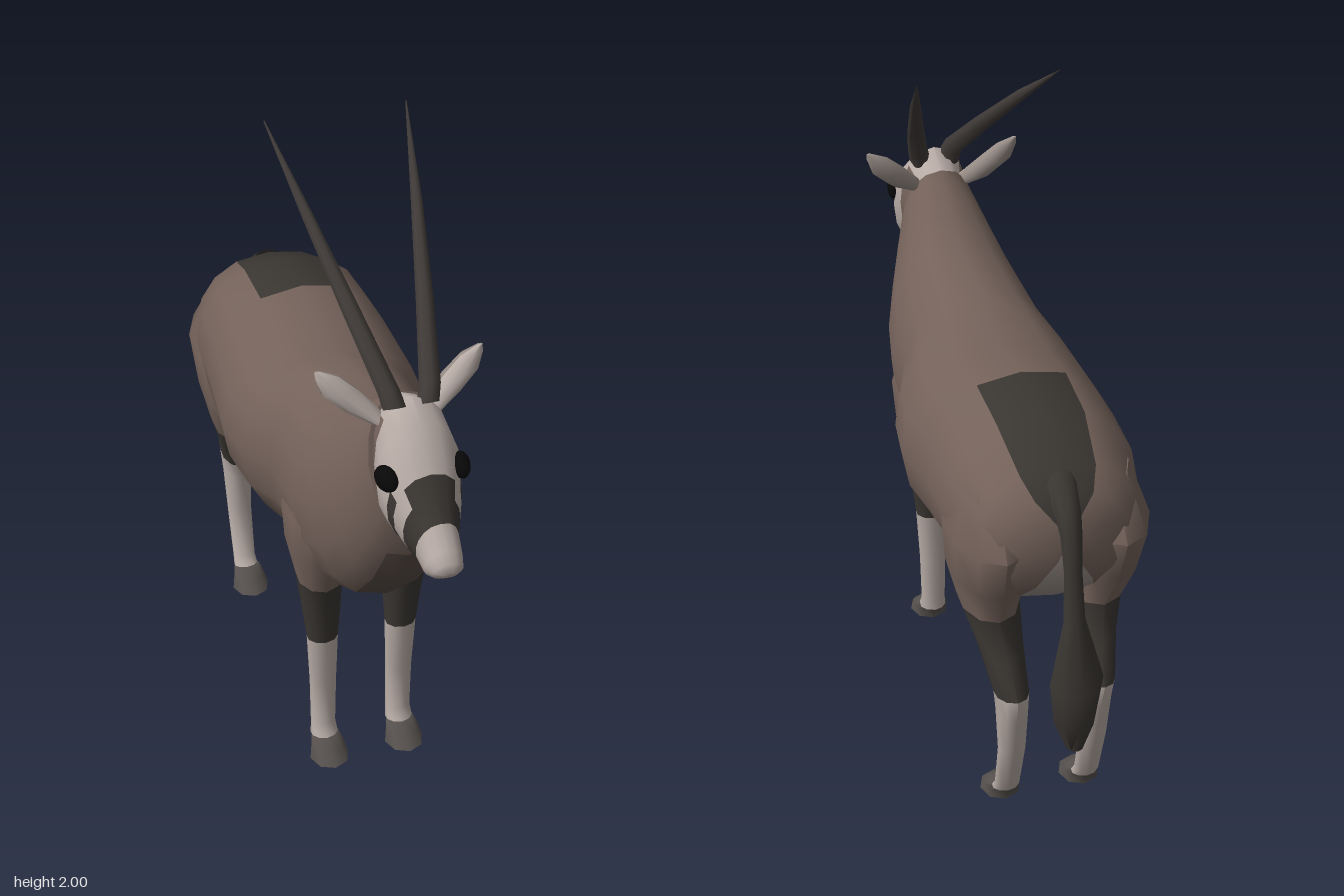
import * as THREE from 'three';
import { toCreasedNormals } from 'three/addons/utils/BufferGeometryUtils.js';

const mat = (color) => new THREE.MeshStandardMaterial({ color });
const MATS = {
  brown: mat(0x74625a), shade: mat(0x564a45), dark: mat(0x3a3632), pale: mat(0xb8aca6),
  belly: mat(0x958a84), hoof: mat(0x55504d), black: mat(0x080808), horn: mat(0x3f3a37),
};

// Oval cross-section spanned by two points (z, y) in side view, half width w, centred on x = cx
function oval([z0, y0, z1, y1, w, cx = 0], n, power) {
  return Array.from({ length: n }, (_, j) => {
    const a = (j / n) * Math.PI * 2, c = Math.cos(a), s = Math.sin(a);
    return new THREE.Vector3(
      cx + w * Math.sign(s) * Math.abs(s) ** power,
      (y0 + y1) / 2 + (c * (y0 - y1)) / 2,
      (z0 + z1) / 2 + (c * (z0 - z1)) / 2);
  });
}

// Skin over the sections, capped at both ends, one mesh per colour; colourOf(ring, segment)
function loft(name, sections, colourOf, n = 10, power = 1) {
  const rings = sections.map((s) => oval(s, n, power));
  const tris = [];
  const centre = (r) => r.reduce((t, p) => t.add(p), new THREE.Vector3()).divideScalar(n);
  const last = rings.length - 1, cStart = centre(rings[0]), cEnd = centre(rings[last]);
  for (let j = 0; j < n; j++) {
    const k = (j + 1) % n;
    tris.push([cStart, rings[0][k], rings[0][j], colourOf(0, j)]);
    for (let i = 0; i < last; i++) {
      const [a, b, c, d] = [rings[i][j], rings[i][k], rings[i + 1][k], rings[i + 1][j]];
      tris.push([a, b, c, colourOf(i, j)], [a, c, d, colourOf(i, j)]);
    }
    tris.push([cEnd, rings[last][j], rings[last][k], colourOf(last - 1, j)]);
  }
  // make the faces point outwards
  const m = centre(rings[last >> 1]), v = [0, 1, 2].map(() => new THREE.Vector3());
  let volume = 0;
  for (const t of tris) {
    v.forEach((p, q) => p.subVectors(t[q], m));
    volume += v[0].dot(v[1].clone().cross(v[2]));
  }
  if (volume < 0) for (const t of tris) [t[1], t[2]] = [t[2], t[1]];

  const geo = toCreasedNormals(
    new THREE.BufferGeometry().setFromPoints(tris.flatMap((t) => t.slice(0, 3))), 1.05);
  const group = new THREE.Group();
  group.name = name;
  for (const colour of new Set(tris.map((t) => t[3]))) {
    const part = new THREE.BufferGeometry();
    for (const key of ['position', 'normal']) {
      const src = geo.attributes[key].array;
      const out = tris.flatMap((t, i) => (t[3] === colour ? [...src.slice(i * 9, i * 9 + 9)] : []));
      part.setAttribute(key, new THREE.Float32BufferAttribute(out, 3));
    }
    const mesh = new THREE.Mesh(part, MATS[colour]);
    mesh.name = `${name} ${colour}`;
    group.add(mesh);
  }
  return group;
}

export function createModel() {
  const model = new THREE.Group();
  model.name = 'antelope';

  // torso and neck, from rump to throat
  model.add(loft('body', [
    [-0.775, 1.08, -0.785, 0.96, 0.06],
    [-0.74, 1.15, -0.76, 0.86, 0.18],
    [-0.68, 1.20, -0.69, 0.78, 0.235],
    [-0.52, 1.265, -0.54, 0.74, 0.275],
    [-0.33, 1.275, -0.36, 0.69, 0.285],
    [-0.12, 1.235, -0.18, 0.655, 0.30],
    [0.0, 1.245, -0.02, 0.65, 0.285],
    [0.12, 1.285, 0.12, 0.66, 0.235],
    [0.24, 1.30, 0.34, 0.65, 0.225],
    [0.35, 1.32, 0.47, 0.72, 0.205],
    [0.43, 1.37, 0.57, 0.84, 0.17],
    [0.50, 1.42, 0.64, 0.98, 0.135],
    [0.55, 1.455, 0.68, 1.11, 0.108],
  ], (i, j) => {
    const fromTop = Math.min(j, 15 - j);
    if (fromTop === 0 && i < 4) return 'dark';
    if (fromTop === 7) return i < 8 ? 'belly' : i < 11 ? 'shade' : 'brown';
    if (fromTop === 6 && i > 2 && i < 8) return 'dark';
    return 'brown';
  }, 16, 0.85));

  // head with a dark blaze and cheek stripes
  model.add(loft('head', [
    [0.53, 1.44, 0.60, 1.16, 0.08],
    [0.64, 1.49, 0.66, 1.13, 0.105],
    [0.70, 1.45, 0.70, 1.11, 0.115],
    [0.76, 1.375, 0.735, 1.11, 0.103],
    [0.785, 1.345, 0.76, 1.108, 0.093],
    [0.82, 1.30, 0.79, 1.10, 0.078],
    [0.87, 1.25, 0.825, 1.09, 0.058],
    [0.92, 1.20, 0.87, 1.085, 0.052],
    [0.945, 1.175, 0.915, 1.11, 0.042],
    [0.95, 1.15, 0.94, 1.13, 0.02],
  ], (i, j) => {
    const fromTop = Math.min(j, 15 - j);
    if (i === 0) return fromTop > 1 ? 'brown' : 'pale';
    if (fromTop < 2 && (i === 4 || i === 5)) return 'dark';
    if (i === 5 || (i === 3 && fromTop > 2)) return 'dark';
    return 'pale';
  }, 16, 0.85));

  // tail with a broad tuft
  model.add(loft('tail', [
    [-0.70, 1.20, -0.73, 1.13, 0.04],
    [-0.79, 1.14, -0.77, 1.07, 0.035],
    [-0.825, 1.08, -0.79, 1.05, 0.03],
    [-0.85, 0.97, -0.81, 0.96, 0.025],
    [-0.875, 0.82, -0.83, 0.82, 0.03],
    [-0.945, 0.63, -0.83, 0.65, 0.075],
    [-0.93, 0.50, -0.825, 0.50, 0.06],
    [-0.915, 0.41, -0.84, 0.38, 0.022],
  ], () => 'dark', 8));

  for (const side of [1, -1]) {
    const label = side > 0 ? 'left' : 'right';
    const add = (part, sections, colourOf, n) =>
      model.add(loft(`${label} ${part}`, sections.map((s) => [...s.slice(0, 5), side * s[5]]), colourOf, n));

    // front leg
    add('front leg', [
      [0.36, 1.05, 0.14, 1.05, 0.06, 0.13],
      [0.40, 0.90, 0.09, 0.90, 0.085, 0.145],
      [0.38, 0.78, 0.10, 0.78, 0.08, 0.142],
      [0.32, 0.64, 0.17, 0.67, 0.068, 0.13],
      [0.30, 0.54, 0.195, 0.54, 0.058, 0.125],
      [0.29, 0.425, 0.21, 0.425, 0.047, 0.122],
      [0.275, 0.25, 0.22, 0.25, 0.041, 0.12],
      [0.275, 0.09, 0.22, 0.08, 0.038, 0.12],
      [0.30, 0.05, 0.22, 0.05, 0.042, 0.12],
    ], (i) => (i < 3 ? 'brown' : i < 5 ? 'dark' : 'pale'));

    // hind leg
    add('hind leg', [
      [-0.42, 1.12, -0.68, 1.12, 0.07, 0.16],
      [-0.37, 0.96, -0.785, 0.98, 0.115, 0.165],
      [-0.35, 0.80, -0.735, 0.83, 0.105, 0.16],
      [-0.40, 0.69, -0.66, 0.69, 0.085, 0.15],
      [-0.51, 0.57, -0.70, 0.58, 0.063, 0.135],
      [-0.62, 0.45, -0.76, 0.48, 0.048, 0.125],
      [-0.63, 0.40, -0.74, 0.39, 0.045, 0.122],
      [-0.65, 0.25, -0.71, 0.25, 0.04, 0.12],
      [-0.615, 0.08, -0.655, 0.07, 0.037, 0.12],
      [-0.585, 0.05, -0.645, 0.05, 0.04, 0.12],
    ], (i) => (i < 3 ? 'brown' : i < 5 ? 'dark' : 'pale'));

    // hooves
    for (const [part, z] of [['front hoof', 0.24], ['hind hoof', -0.63]]) {
      add(part, [
        [z + 0.065, 0.055, z - 0.015, 0.05, 0.043, 0.12],
        [z + 0.105, 0.03, z, 0.03, 0.052, 0.12],
        [z + 0.135, 0, z + 0.005, 0, 0.06, 0.12],
      ], () => 'hoof', 8);
    }

    // horn
    add('horn', [
      [0.665, 1.48, 0.60, 1.44, 0.032, 0.045],
      [0.635, 1.525, 0.595, 1.48, 0.03, 0.056],
      [0.46, 1.67, 0.43, 1.63, 0.025, 0.10],
      [0.24, 1.84, 0.22, 1.81, 0.016, 0.15],
      [0.0, 2.0, 0.002, 1.997, 0.002, 0.198],
    ], () => 'horn', 8);

    // ear
    add('ear', [
      [0.61, 1.40, 0.56, 1.39, 0.025, 0.07],
      [0.59, 1.44, 0.535, 1.42, 0.045, 0.115],
      [0.575, 1.485, 0.515, 1.475, 0.05, 0.165],
      [0.555, 1.525, 0.52, 1.525, 0.032, 0.198],
      [0.54, 1.545, 0.53, 1.545, 0.008, 0.222],
    ], (i, j) => (j > 7 || j < 2 ? 'pale' : 'belly'), 10);

    // eye
    const eye = new THREE.Mesh(new THREE.SphereGeometry(1, 14, 10), MATS.black);
    eye.name = `${label} eye`;
    eye.scale.set(0.024, 0.035, 0.047);
    eye.position.set(side * 0.102, 1.322, 0.737);
    eye.rotation.set(-0.25, side * -0.2, 0);
    model.add(eye);
  }
  return model;
}
